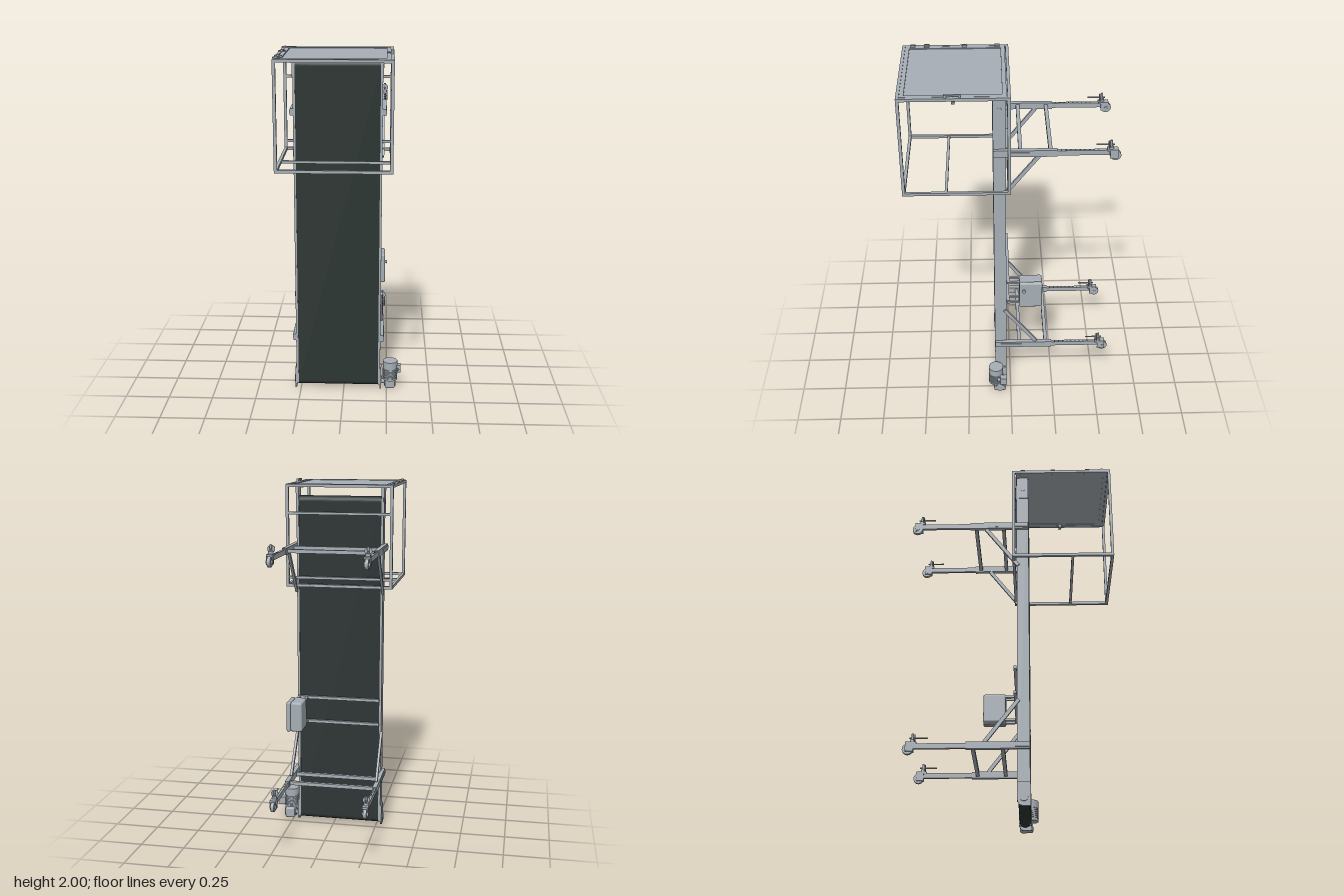
import * as THREE from 'three';
import { RoundedBoxGeometry } from 'three/addons/geometries/RoundedBoxGeometry.js';

const steel = new THREE.MeshStandardMaterial({ color: 0xa6aeb5 });
steel.name = 'steel grey';
const rubber = new THREE.MeshStandardMaterial({ color: 0x2c3533 });
rubber.name = 'belt black';

export function createModel() {
  const model = new THREE.Group();
  model.name = 'verticalBeltConveyor';

  const add = (name, geo, mat, x, y, z, parent = model) => {
    const m = new THREE.Mesh(geo, mat);
    m.name = name;
    m.position.set(x, y, z);
    parent.add(m);
    return m;
  };
  // box given by its limits on each axis
  const box = (name, x0, x1, y0, y1, z0, z1, mat = steel, parent = model) =>
    add(name, new THREE.BoxGeometry(x1 - x0, y1 - y0, z1 - z0), mat,
      (x0 + x1) / 2, (y0 + y1) / 2, (z0 + z1) / 2, parent);
  const cyl = (name, r, len, axis, x, y, z, mat = steel, parent = model, seg = 24) => {
    const g = new THREE.CylinderGeometry(r, r, len, seg);
    if (axis === 'x') g.rotateZ(Math.PI / 2);
    if (axis === 'z') g.rotateX(Math.PI / 2);
    return add(name, g, mat, x, y, z, parent);
  };

  // belt loop around its two rollers
  const loop = new THREE.Shape();
  loop.absarc(-0.058, 1.89, 0.03, 0, Math.PI, false);
  loop.absarc(-0.058, 0.05, 0.03, Math.PI, Math.PI * 2, false);
  const beltGeo = new THREE.ExtrudeGeometry(loop, { depth: 0.464, bevelEnabled: false, curveSegments: 16 });
  beltGeo.rotateY(Math.PI / 2);
  add('belt', beltGeo, rubber, -0.264, 0, 0);
  for (const y of [0.05, 1.89]) cyl('rollerShaft', 0.012, 0.5, 'x', -0.032, y, 0.058);

  // side rails with bottom bearing plates and top take-up plates
  for (const [x, out] of [[-0.27, -1], [0.206, 1]]) {
    box('sideRail', x - 0.006, x + 0.006, 0.03, 1.972, 0.024, 0.091);
    const foot = new THREE.Shape();
    foot.moveTo(-0.093, 0.13);
    foot.lineTo(-0.093, 0.005);
    foot.lineTo(-0.06, 0.005);
    foot.quadraticCurveTo(-0.024, 0.005, -0.024, 0.045);
    foot.lineTo(-0.024, 0.13);
    const g = new THREE.ExtrudeGeometry(foot, { depth: 0.008, bevelEnabled: false });
    g.rotateY(Math.PI / 2);
    add('bearingPlate', g, steel, x + out * 0.009 - 0.004, 0, 0);
    cyl('bearing', 0.022, 0.012, 'x', x + out * 0.013, 0.05, 0.058);
    box('takeUpPlate', x + out * 0.008 - 0.002, x + out * 0.008 + 0.002, 1.83, 1.965, 0.026, 0.089);
  }

  // hood cage
  const X0 = -0.332, X1 = 0.268, Y0 = 1.414, Y1 = 1.984, Z0 = 0, Z1 = 0.566, T = 0.016;
  for (const x of [X0, X1 - T]) {
    for (const z of [Z0, Z1 - T]) box('cagePost', x, x + T, Y0, Y1, z, z + T);
    for (const y of [Y0, Y1 - T]) box('cageSideBar', x, x + T, y, y + T, Z0, Z1);
  }
  for (const z of [Z0, Z1 - T])
    for (const y of [Y0, Y1 - T]) box('cageCrossBar', X0, X1, y, y + T, z, z + T);
  for (const y of [1.459, 1.818]) box('cageRearBar', X0, X1, y, y + 0.014, 0.002, 0.016);
  box('cageFloorBar', X0, X1, Y0, Y0 + 0.014, 0.33, 0.345);

  // lid: frame, sheet, hinges, handle
  for (const x of [-0.313, 0.229]) box('lidSideBar', x, x + 0.023, 1.97, 1.985, 0.02, 0.548);
  for (const z of [0.02, 0.527]) box('lidCrossBar', -0.313, 0.252, 1.97, 1.985, z, z + 0.022);
  box('lidSheet', -0.292, 0.231, 1.973, 1.98, 0.04, 0.53);
  for (const z of [0.06, 0.235, 0.435, 0.51]) {
    box('hingeLeaf', -0.333, -0.296, 1.984, 1.989, z - 0.013, z + 0.013);
    cyl('hingePin', 0.005, 0.028, 'z', -0.315, 1.989, z);
  }
  box('handleGrip', 0.25, 0.262, 1.992, 2, 0.245, 0.33);
  for (const z of [0.25, 0.325]) box('handleFoot', 0.25, 0.262, 1.98, 1.994, z - 0.005, z + 0.005);
  cyl('latch', 0.01, 0.04, 'y', 0.24, 1.97, 0.285);
  box('latchTongue', 0.232, 0.262, 1.95, 1.956, 0.277, 0.293);

  // arms with telescopic extensions, casters and braces, on two levels
  const brace = (x, y0, z0, y1, z1) => {
    const m = add('diagonalBrace', new THREE.BoxGeometry(0.014, Math.hypot(y1 - y0, z1 - z0), 0.02),
      steel, x, (y0 + y1) / 2, (z0 + z1) / 2);
    m.rotation.x = Math.atan2(z1 - z0, y1 - y0);
  };
  const caster = (x, y) => {
    const c = new THREE.Group();
    c.name = 'caster';
    c.position.set(x, y, -0.54);
    model.add(c);
    cyl('wheel', 0.028, 0.018, 'x', 0, -0.016, 0, steel, c);
    cyl('wheelHub', 0.011, 0.036, 'x', 0, -0.016, 0, steel, c);
    for (const s of [-1, 1]) box('fork', s * 0.014 - 0.002, s * 0.014 + 0.002, -0.03, 0.02, -0.012, 0.03, steel, c);
    box('forkHead', -0.016, 0.016, 0.012, 0.022, -0.012, 0.045, steel, c);
    cyl('swivel', 0.013, 0.02, 'y', 0, 0.026, 0.025, steel, c);
    cyl('stem', 0.006, 0.06, 'y', 0, 0.04, 0.025, steel, c);
    cyl('lockSpindle', 0.004, 0.095, 'z', 0, 0.046, 0.055, steel, c, 12);
    cyl('lockKnob', 0.02, 0.006, 'z', 0, 0.046, 0.035, steel, c);
  };
  for (const [y, braceEnd] of [[1.64, 1.385], [0.322, 0.578]]) {
    for (const [x, out] of [[-0.281, -1], [0.219, 1]]) {
      box('arm', x - 0.012, x + 0.012, y - 0.018, y + 0.019, -0.24, 0.09);
      box('armExtension', x - 0.008, x + 0.008, y - 0.014, y + 0.014, -0.51, -0.235);
      box('armSlotPlate', x + out * 0.013 - 0.002, x + out * 0.013 + 0.002, y - 0.009, y + 0.009, -0.095, 0.085);
      for (let i = 0; i < 9; i++)
        cyl('adjustmentHole', 0.0035, 0.002, 'y', x + 0.002, y + 0.014, -0.26 - i * 0.024, rubber, model, 10);
      caster(x + 0.002, y);
      brace(x - out * 0.004, braceEnd, 0.033, y + Math.sign(braceEnd - y) * 0.018, -0.148);
    }
    for (const z of [-0.206, -0.05]) {
      box('armCrossBar', -0.27, 0.208, y - 0.01, y + 0.01, z - 0.01, z + 0.01);
    }
  }

  // control cabinet on two mounting bars
  for (const y of [0.628, 0.77]) {
    box('cabinetMountBar', -0.264, 0.2, y - 0.008, y + 0.008, 0.006, 0.022);
    for (const x of [0.155, 0.2]) box('cabinetBracket', x - 0.007, x + 0.007, y - 0.006, y + 0.006, -0.055, 0.02);
  }
  add('cabinet', new RoundedBoxGeometry(0.066, 0.168, 0.128, 3, 0.01), steel, 0.178, 0.7, -0.114);
  add('cabinetDoor', new RoundedBoxGeometry(0.024, 0.172, 0.13, 3, 0.01), steel, 0.222, 0.7, -0.114);
  cyl('cabinetSwitch', 0.009, 0.016, 'x', 0.238, 0.735, -0.075);

  // gear motor beside the bottom roller
  add('gearbox', new RoundedBoxGeometry(0.055, 0.062, 0.072, 3, 0.01), steel, 0.27, 0.042, 0.064);
  cyl('driveShaft', 0.014, 0.08, 'x', 0.25, 0.042, 0.058);
  cyl('gearboxCover', 0.026, 0.066, 'x', 0.27, 0.042, 0.064);
  cyl('motorFlange', 0.042, 0.012, 'y', 0.27, 0.076, 0.088);
  cyl('motorBody', 0.038, 0.07, 'y', 0.27, 0.112, 0.088);
  for (let i = 0; i < 5; i++) cyl('coolingFin', 0.043, 0.004, 'y', 0.27, 0.09 + i * 0.011, 0.088);
  cyl('fanCowl', 0.042, 0.042, 'y', 0.27, 0.164, 0.088);
  box('terminalBox', 0.295, 0.332, 0.095, 0.14, 0.024, 0.062);
  cyl('cableGland', 0.008, 0.02, 'z', 0.314, 0.117, 0.07);

  return model;
}
